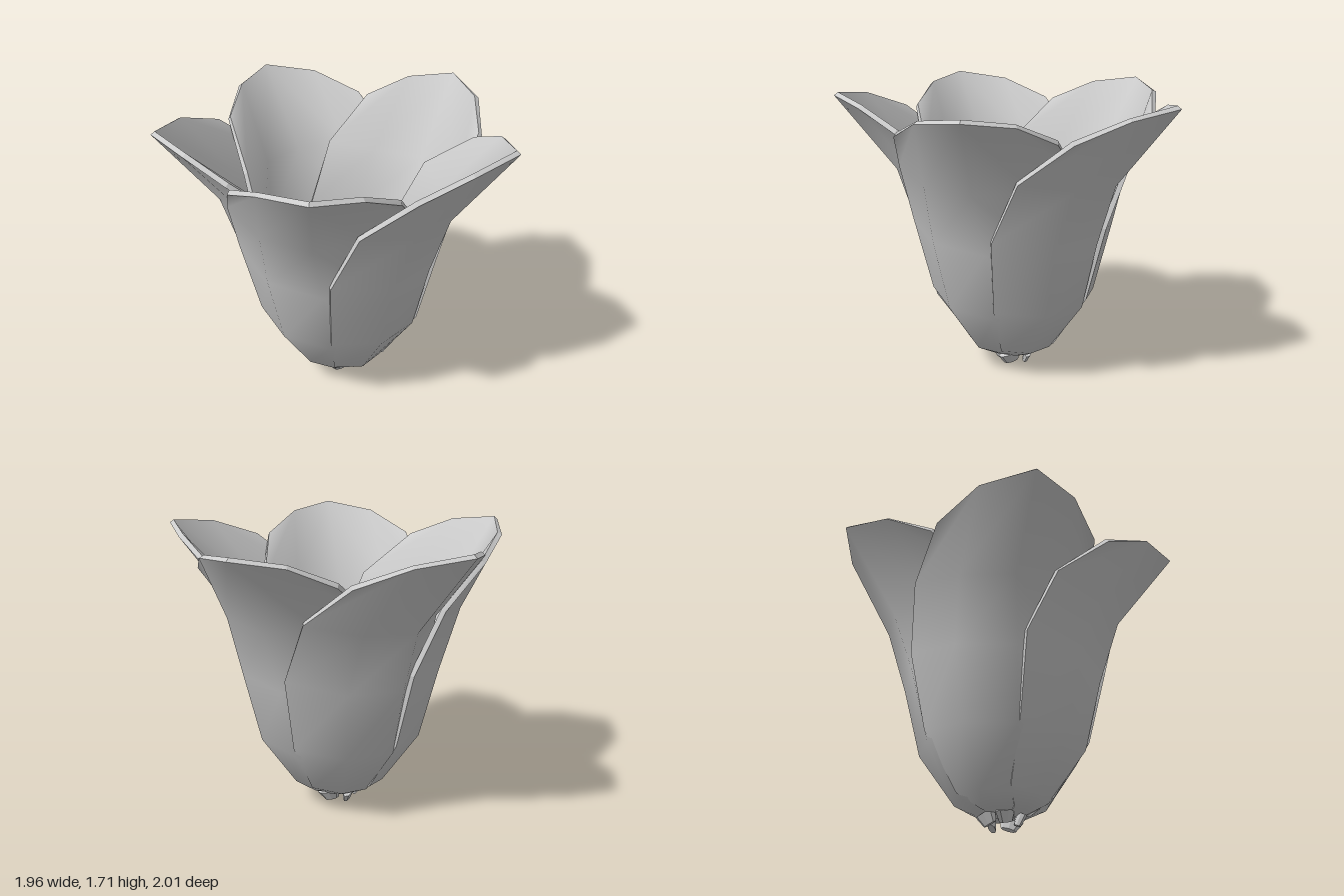
import * as THREE from 'three';
import { mergeGeometries } from 'three/addons/utils/BufferGeometryUtils.js';

const COUNT = 5, THICKNESS = 0.03, COLS = 5, MIDDLE = 2;
const rad = THREE.MathUtils.degToRad;

// Petal cross-sections from base to lip: [angle, radius, height] at inner edge, middle, outer edge,
// then how far the inner half is tucked in under the neighbouring petal
const ROWS = [
  [[-30, 0.01, 0.07], [0, 0.01, 0.06], [30, 0.01, 0.06], 0],
  [[-52, 0.13, 0.11], [0, 0.14, 0.08], [58, 0.16, 0.085], 0],
  [[-75, 0.21, 0.17], [0, 0.262, 0.14], [73, 0.292, 0.17], 0],
  [[-71, 0.39, 0.50], [0, 0.483, 0.45], [71, 0.505, 0.50], 0],
  [[-67, 0.495, 0.95], [2, 0.585, 0.87], [69.5, 0.615, 0.95], 0.01],
  [[-51, 0.59, 1.31], [4, 0.71, 1.24], [56, 0.705, 1.31], 0.04],
  [[-31, 0.80, 1.54], [0, 1.055, 1.695], [36, 0.845, 1.54], 0],
];

// Five points across one cross-section
function section([inner, mid, outer, tuck]) {
  const between = (e, inset) => [(e[0] + mid[0]) / 2, (e[1] + mid[1]) / 2 - inset, mid[2] + (e[2] - mid[2]) / 4];
  return [inner, between(inner, tuck), mid, between(outer, -0.005), outer].map(([a, r, y]) =>
    new THREE.Vector3(r * Math.cos(rad(a)), y, r * Math.sin(rad(a))));
}

function geometryFrom(points, index) {
  const g = new THREE.BufferGeometry().setFromPoints(points);
  g.setIndex(index);
  g.computeVertexNormals();
  return g;
}

// Thick curved petal: outer sheet, inner sheet offset along the normals, and a crisp rim
function petalGeometry() {
  const points = ROWS.flatMap(section);
  const at = (i, j) => i * COLS + j;
  const front = [];
  for (let i = 0; i < ROWS.length - 1; i++) {
    for (let j = 0; j < COLS - 1; j++) {
      const a = at(i, j), b = at(i + 1, j), c = at(i, j + 1), d = at(i + 1, j + 1);
      // Diagonals mirror about the middle line
      if (j < MIDDLE) front.push(a, b, d, a, d, c);
      else front.push(a, b, c, c, b, d);
    }
  }
  const outer = geometryFrom(points, front);
  const normals = outer.attributes.normal;
  const inside = points.map((p, k) =>
    p.clone().addScaledVector(new THREE.Vector3().fromBufferAttribute(normals, k), -THICKNESS));
  const inner = geometryFrom(inside, [...front].reverse());

  // Rim follows the boundary of the sheet
  const loop = [], top = ROWS.length - 1, last = COLS - 1;
  for (let i = 0; i < top; i++) loop.push(at(i, 0));
  for (let j = 0; j < last; j++) loop.push(at(top, j));
  for (let i = top; i > 0; i--) loop.push(at(i, last));
  for (let j = last; j > 0; j--) loop.push(at(0, j));
  const rimPoints = [], rimIndex = [];
  loop.forEach((p, k) => {
    const q = loop[(k + 1) % loop.length], n = rimPoints.length;
    rimPoints.push(points[q], points[p], inside[p], inside[q]);
    rimIndex.push(n, n + 1, n + 2, n, n + 2, n + 3);
  });
  return mergeGeometries([outer, inner, geometryFrom(rimPoints, rimIndex)]);
}

export function createModel() {
  const model = new THREE.Group();
  model.name = 'flower';
  const material = new THREE.MeshStandardMaterial({ color: 0xcccccc });
  const clawMaterial = new THREE.MeshStandardMaterial({ color: 0xcccccc, flatShading: true });

  const blossom = new THREE.Group();
  blossom.name = 'blossom';
  blossom.position.x = -0.08;
  model.add(blossom);

  const petal = petalGeometry();
  // Small flat twisted claw under each petal
  const claw = new THREE.CylinderGeometry(0.07, 0.045, 0.07, 8);
  claw.scale(0.4, 1, 1);
  claw.rotateX(0.3);
  claw.rotateZ(-0.3);
  claw.rotateY(0.5);

  for (let k = 0; k < COUNT; k++) {
    const turn = -k * Math.PI * 2 / COUNT;
    const petalMesh = new THREE.Mesh(petal, material);
    petalMesh.name = 'petal' + (k + 1);
    petalMesh.rotation.y = turn;

    const clawMesh = new THREE.Mesh(claw, clawMaterial);
    clawMesh.name = 'petalClaw' + (k + 1);
    clawMesh.position.set(0.095 * Math.cos(turn), 0.05, -0.095 * Math.sin(turn));
    clawMesh.rotation.y = turn;
    blossom.add(petalMesh, clawMesh);
  }
  return model;
}
